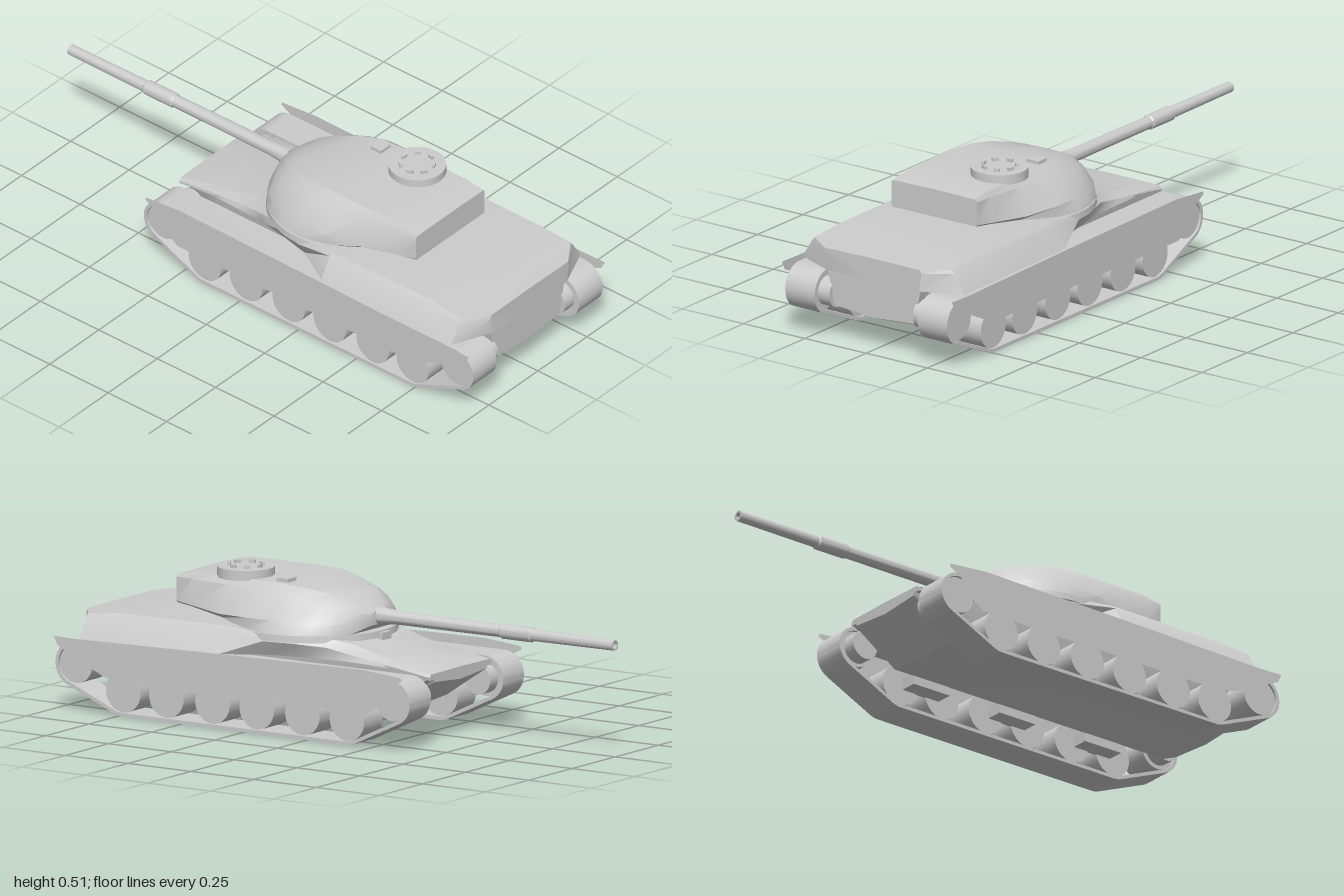
import * as THREE from 'three';
import { toCreasedNormals } from 'three/addons/utils/BufferGeometryUtils.js';

const grey = new THREE.MeshStandardMaterial({ color: 0xcccccc });
const thin = new THREE.MeshStandardMaterial({ color: 0xcccccc, side: THREE.DoubleSide });

function add(parent, name, geometry, x = 0, y = 0, z = 0, material = grey) {
  const mesh = new THREE.Mesh(geometry, material);
  mesh.name = name;
  mesh.position.set(x, y, z);
  parent.add(mesh);
  return mesh;
}

// Skin mirrored half-sections [z, [x, y] bottom centre ... top centre], ordered from +z to -z
function loft(sections, crease = 0.45) {
  const rings = sections.map(([z, half]) => {
    const left = half.slice(1, -1).reverse().map(([x, y]) => [-x, y]);
    return [...half, ...left].map(([x, y]) => [x, y, z]);
  });
  const pos = [];
  const tri = (a, b, c) => pos.push(...a, ...b, ...c);
  const n = rings[0].length;
  for (let i = 0; i < rings.length - 1; i++) {
    for (let j = 0; j < n; j++) {
      const k = (j + 1) % n;
      tri(rings[i][j], rings[i + 1][j], rings[i + 1][k]);
      tri(rings[i][j], rings[i + 1][k], rings[i][k]);
    }
  }
  const last = rings[rings.length - 1];
  for (let j = 1; j < n - 1; j++) {
    tri(rings[0][0], rings[0][j], rings[0][j + 1]);
    tri(last[0], last[j + 1], last[j]);
  }
  const g = new THREE.BufferGeometry();
  g.setAttribute('position', new THREE.Float32BufferAttribute(pos, 3));
  return toCreasedNormals(g, crease);
}

// Cylinder lying along x
const axle = (r, width) => new THREE.CylinderGeometry(r, r, width, 32).rotateZ(Math.PI / 2);

// Wheels as [z, y, radius]
const roadZ = [0.735, 0.563, 0.38, 0.204, 0.022, -0.155];
const ends = [[0.923, 0.155, 0.065], [-0.335, 0.16, 0.063]];
const wheels = [...ends, ...roadZ.map((z) => [z, 0.082, 0.07])];

// Belt stretched around the wheels: convex outline at a given offset
function beltOutline(offset) {
  const pts = [];
  for (const [z, y, r] of wheels) {
    for (let i = 0; i < 48; i++) {
      const a = (i / 48) * Math.PI * 2;
      pts.push(new THREE.Vector2(z + (r + offset) * Math.cos(a), y + (r + offset) * Math.sin(a)));
    }
  }
  pts.sort((a, b) => a.x - b.x || a.y - b.y);
  const chain = (list) => {
    const out = [];
    for (const p of list) {
      while (out.length > 1) {
        const a = out[out.length - 2], b = out[out.length - 1];
        if ((b.x - a.x) * (p.y - a.y) - (b.y - a.y) * (p.x - a.x) > 1e-9) break;
        out.pop();
      }
      out.push(p);
    }
    return out.slice(0, -1);
  };
  return [...chain(pts), ...chain(pts.slice().reverse())];
}

function runningGear(side) {
  const g = new THREE.Group();
  g.name = side > 0 ? 'leftRunningGear' : 'rightRunningGear';
  const shape = new THREE.Shape(beltOutline(0.012));
  shape.holes.push(new THREE.Path(beltOutline(0)));
  const belt = new THREE.ExtrudeGeometry(shape, { depth: 0.12, bevelEnabled: false });
  belt.rotateY(-Math.PI / 2).translate(0.06, 0, 0);
  add(g, 'track', toCreasedNormals(belt, 0.5), side * 0.27);
  wheels.forEach(([z, y, r], i) => {
    add(g, i < 2 ? 'endWheel' : 'roadWheel', axle(r - 0.001, 0.106), side * 0.27, y, z);
    if (i < 2) add(g, 'endWheelHub', axle(0.05, 0.05), side * 0.195, y, z);
  });
  // Suspension units, one for each pair of road wheels
  for (let i = 0; i < 6; i += 2) {
    const z = (roadZ[i] + roadZ[i + 1]) / 2;
    add(g, 'suspensionUnit', new THREE.BoxGeometry(0.065, 0.04, 0.15), side * 0.19, 0.09, z);
  }
  // Side skirt, a thin plate outside the track
  const outline = [[0.995, 0.245], [0.98, 0.215], [0.8, 0.13], [0.72, 0.116], [-0.25, 0.116],
    [-0.3, 0.15], [-0.345, 0.215], [-0.39, 0.24], [-0.385, 0.25], [-0.24, 0.262], [0.3, 0.255], [0.9, 0.243]];
  const plate = new THREE.ShapeGeometry(new THREE.Shape(outline.map(([z, y]) => new THREE.Vector2(z, y))));
  add(g, 'sideSkirt', plate.rotateY(-Math.PI / 2), side * 0.347, 0, 0, thin);
  return g;
}

// Lower hull: shallow V floor, sides leaning outwards
const tub = (z, floor, rise, w, top) => [z, [[0, floor], [w - 0.03, floor + 0.012],
  [w - 0.025, floor + 0.02 + rise], [w, top], [0, top + 0.005]]];

// Upper hull: bottom half width, shoulder and deck
const deck = (z, bw, by, mw, my, tw, ty) => [z, [[0, by], [bw, by], [mw, my], [tw, ty], [0, ty + 0.002]]];

// Turret: bottom, waist, shoulder and roof
const cast = (z, by, bw, ww, wy, sw, sy, tw, ty) =>
  [z, [[0, by], [bw, by], [ww, wy], [sw, sy], [tw, ty], [0, ty + 0.002]]];

export function createModel() {
  const model = new THREE.Group();
  model.name = 'tank';

  add(model, 'lowerHull', loft([
    tub(0.955, 0.11, 0, 0.19, 0.245),
    tub(0.9, 0.088, 0, 0.19, 0.245),
    tub(-0.22, 0.088, 0, 0.19, 0.25),
    tub(-0.385, 0.195, 0, 0.18, 0.225),
  ]));

  add(model, 'upperHull', loft([
    deck(0.965, 0.19, 0.243, 0.2, 0.305, 0.195, 0.317),
    deck(0.905, 0.33, 0.243, 0.29, 0.308, 0.28, 0.32),
    deck(0.78, 0.33, 0.244, 0.29, 0.318, 0.275, 0.332),
    deck(0.35, 0.33, 0.25, 0.288, 0.322, 0.275, 0.335),
    deck(0.21, 0.25, 0.25, 0.28, 0.3, 0.272, 0.32),
    deck(0.1, 0.225, 0.25, 0.255, 0.298, 0.25, 0.318),
    deck(0, 0.21, 0.25, 0.215, 0.29, 0.19, 0.315),
    deck(-0.07, 0.205, 0.25, 0.2, 0.275, 0.16, 0.3),
    deck(-0.14, 0.2, 0.248, 0.192, 0.262, 0.155, 0.281),
    deck(-0.24, 0.187, 0.24, 0.186, 0.25, 0.16, 0.261),
    deck(-0.385, 0.178, 0.215, 0.178, 0.225, 0.17, 0.235),
  ]));
  add(model, 'driverPeriscope', new THREE.BoxGeometry(0.05, 0.025, 0.025), 0, 0.308, -0.08);
  add(model, 'turretRing', new THREE.CylinderGeometry(0.278, 0.28, 0.022, 64), 0, 0.314, 0.2);

  const turret = new THREE.Group();
  turret.name = 'turret';
  model.add(turret);
  add(turret, 'turretBody', loft([
    cast(0.625, 0.37, 0.172, 0.175, 0.375, 0.175, 0.455, 0.17, 0.463),
    cast(0.56, 0.363, 0.18, 0.19, 0.37, 0.178, 0.455, 0.166, 0.475),
    cast(0.42, 0.345, 0.205, 0.225, 0.36, 0.188, 0.452, 0.168, 0.476),
    cast(0.3, 0.322, 0.252, 0.252, 0.365, 0.202, 0.447, 0.168, 0.476),
    cast(0.2, 0.32, 0.274, 0.258, 0.367, 0.202, 0.445, 0.165, 0.474),
    cast(0.12, 0.32, 0.264, 0.248, 0.365, 0.19, 0.435, 0.145, 0.463),
    cast(0.05, 0.32, 0.235, 0.222, 0.362, 0.17, 0.421, 0.115, 0.448),
    cast(0, 0.32, 0.195, 0.185, 0.36, 0.142, 0.407, 0.09, 0.432),
    cast(-0.04, 0.325, 0.14, 0.13, 0.358, 0.1, 0.39, 0.06, 0.408),
    cast(-0.065, 0.345, 0.06, 0.058, 0.36, 0.045, 0.38, 0.03, 0.39),
  ], 0.5));

  // Gun: stepped barrel with a sleeve, profile as [radius, distance forward]
  const barrel = [[0, 0], [0.03, 0], [0.023, 0.08], [0.021, 0.49], [0.025, 0.495], [0.025, 0.61],
    [0.02, 0.615], [0.018, 0.9], [0.018, 0.94], [0.011, 0.94], [0.011, 0.88], [0, 0.88]];
  const gun = new THREE.LatheGeometry(barrel.map(([r, d]) => new THREE.Vector2(r, d)), 24);
  add(turret, 'gunBarrel', toCreasedNormals(gun.rotateX(-Math.PI / 2), 0.5), 0, 0.372, -0.06);

  // Commander's cupola with a ring of periscopes
  add(turret, 'cupola', new THREE.CylinderGeometry(0.095, 0.095, 0.034, 40), 0.1, 0.487, 0.4);
  for (let i = 0; i < 7; i++) {
    const a = Math.PI * 2 * (i + 0.5) / 7;
    const scope = add(turret, 'cupolaPeriscope', new THREE.BoxGeometry(0.022, 0.012, 0.01),
      0.1 + 0.056 * Math.sin(a), 0.509, 0.4 + 0.056 * Math.cos(a));
    scope.rotation.y = a;
  }
  add(turret, 'roofSight', new THREE.BoxGeometry(0.05, 0.025, 0.045), 0.12, 0.474, 0.225);

  model.add(runningGear(1), runningGear(-1));
  return model;
}
